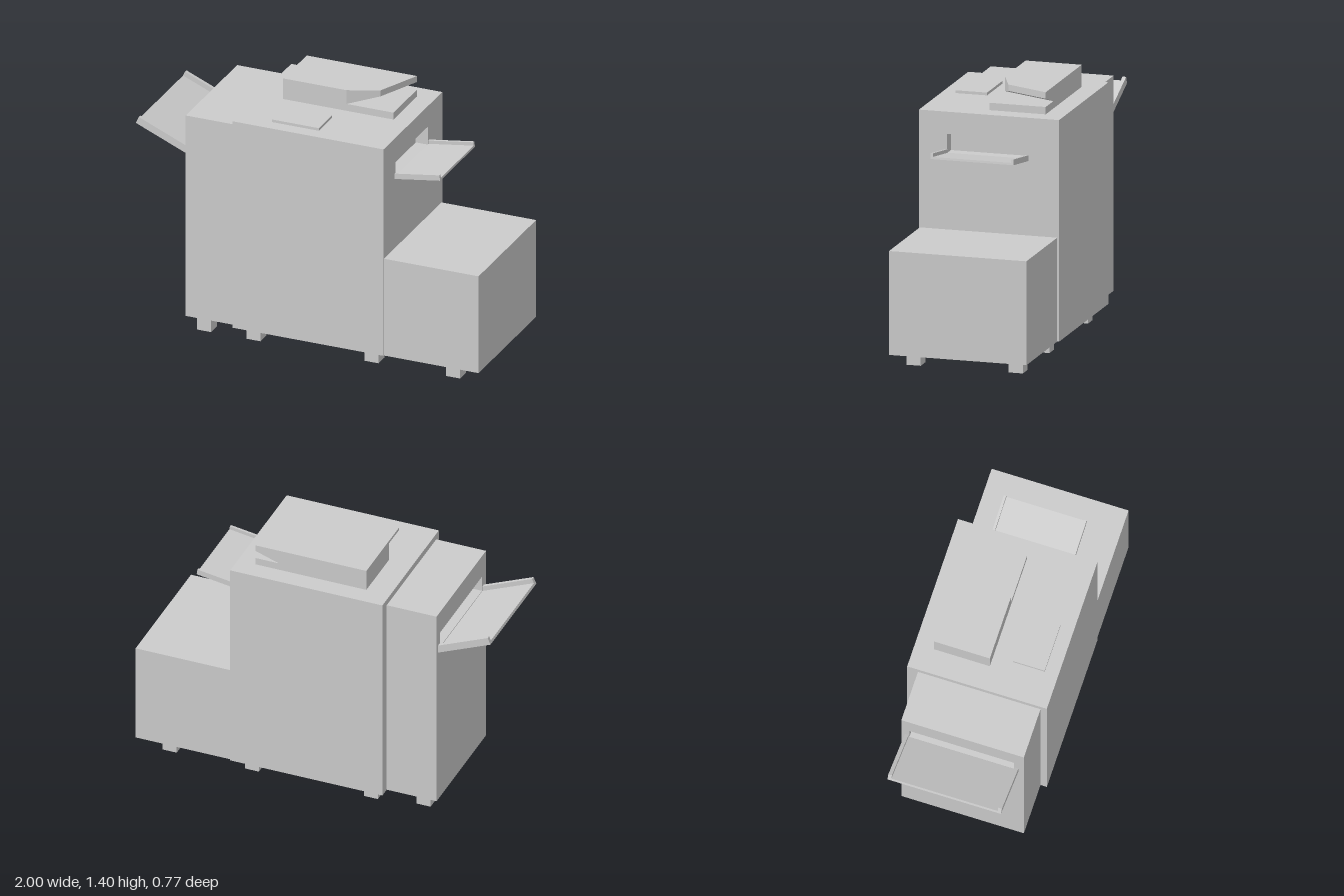
import * as THREE from 'three';

const grey = new THREE.MeshStandardMaterial({ color: 0xcccccc, flatShading: true });

function add(parent, name, geometry) {
  const mesh = new THREE.Mesh(geometry, grey);
  mesh.name = name;
  parent.add(mesh);
  return mesh;
}

// box given by its lower and upper limits on each axis
function box(parent, name, [x0, x1], [y0, y1], [z0, z1]) {
  const mesh = add(parent, name, new THREE.BoxGeometry(x1 - x0, y1 - y0, z1 - z0));
  mesh.position.set((x0 + x1) / 2, (y0 + y1) / 2, (z0 + z1) / 2);
  return mesh;
}

function shapeOf(points) {
  return new THREE.Shape(points.map(([x, y]) => new THREE.Vector2(x, y)));
}

function rect([a0, a1], [b0, b1]) {
  return [[a0, b0], [a1, b0], [a1, b1], [a0, b1]];
}

// side profile in x and y, extruded from z0 to z1
function profile(parent, name, points, z0, z1) {
  const g = new THREE.ExtrudeGeometry(shapeOf(points), { depth: z1 - z0, bevelEnabled: false });
  return add(parent, name, g.translate(0, 0, z0));
}

// footprint in x and z, extruded from y0 to y1
function slab(points, y0, y1) {
  const shape = shapeOf(points.map(([x, z]) => [x, -z]));
  const g = new THREE.ExtrudeGeometry(shape, { depth: y1 - y0, bevelEnabled: false });
  return g.rotateX(-Math.PI / 2).translate(0, y0, 0);
}

// cabinet with a paper slot in one end; side is +1 or -1 along x
function slottedCabinet(parent, name, xs, ys, zs, slotY, slotZ, side) {
  const flip = ([a, b]) => [-b, -a];
  const shape = shapeOf(rect(flip(zs), ys));
  shape.holes.push(new THREE.Path(shapeOf(rect(flip(slotZ), slotY)).getPoints()));
  const g = new THREE.ExtrudeGeometry(shape, { depth: xs[1] - xs[0], bevelEnabled: false });
  add(parent, name, g.rotateY(Math.PI / 2).translate(xs[0], 0, 0));
  const depth = 0.07;
  const plugX = side > 0 ? [xs[0], xs[1] - depth] : [xs[0] + depth, xs[1]];
  box(parent, name + 'SlotBack', plugX, slotY, slotZ);
}

// sloping tray: thin floor with a raised lip along both edges
function tray(parent, name, inner, outer, height, floorHeight, [z0, z1], lip) {
  const group = new THREE.Group();
  group.name = name;
  parent.add(group);
  const dir = new THREE.Vector2(outer[0] - inner[0], outer[1] - inner[1]).normalize();
  const up = new THREE.Vector2(-dir.y, dir.x).multiplyScalar(Math.sign(dir.x));
  const quad = (h) => [
    inner, outer,
    [outer[0] + up.x * h, outer[1] + up.y * h],
    [inner[0], inner[1] + h / up.y],
  ];
  profile(group, 'trayFloor', quad(floorHeight), z0 + lip, z1 - lip);
  profile(group, 'trayLip', quad(height), z0, z0 + lip);
  profile(group, 'trayLip', quad(height), z1 - lip, z1);
}

export function createModel() {
  const model = new THREE.Group();
  model.name = 'copier';

  // cabinets
  slottedCabinet(model, 'mainCabinet', [-0.415, 0.455], [0.08, 1.285], [-0.39, 0.385],
    [1.06, 1.165], [-0.2, 0.23], 1);
  slottedCabinet(model, 'finisherCabinet', [-0.7, -0.415], [0.08, 1.25], [-0.33, 0.35],
    [1.03, 1.12], [-0.285, 0.295], -1);
  box(model, 'paperFeeder', [0.455, 1], [0.08, 0.645], [-0.38, 0.38]);

  // paper trays
  tray(model, 'sideTray', [0.455, 1.05], [0.718, 1.089], 0.031, 0.012, [-0.22, 0.24], 0.014);
  tray(model, 'outputTray', [-0.7, 1.01], [-1, 1.137], 0.041, 0.015, [-0.31, 0.32], 0.02);

  // control panel
  box(model, 'controlPanel', [-0.22, 0.05], [1.285, 1.3], [0.135, 0.31]);

  // document feeder: base plate, main block, overhang with sloping underside
  const feeder = new THREE.Group();
  feeder.name = 'documentFeeder';
  model.add(feeder);
  box(feeder, 'feederBase', [-0.28, 0.355], [1.285, 1.325], [-0.285, 0.025]);
  const a = [0.085, 0.025], b = [0.25, -0.045], c = [0.355, -0.285], d = [0.22, -0.285];
  add(feeder, 'feederBlock', slab([[-0.28, -0.285], [-0.28, 0.025], a, d], 1.325, 1.405));
  const overhang = slab([a, b, c, d], 1.325, 1.405);
  const p = overhang.attributes.position;
  for (let i = 0; i < p.count; i++) {
    if (p.getY(i) < 1.35 && p.getX(i) > 0.235) p.setY(i, 1.37);
  }
  overhang.computeVertexNormals();
  add(feeder, 'feederOverhang', overhang);

  // feet
  for (const [x, back] of [[-0.605, -0.24], [-0.32, -0.28], [0.36, -0.28], [0.83, -0.28]]) {
    for (const z of [back, 0.285]) {
      box(model, 'foot', [x - 0.04, x + 0.04], [0, 0.08], [z - 0.04, z + 0.04]);
    }
  }
  return model;
}
